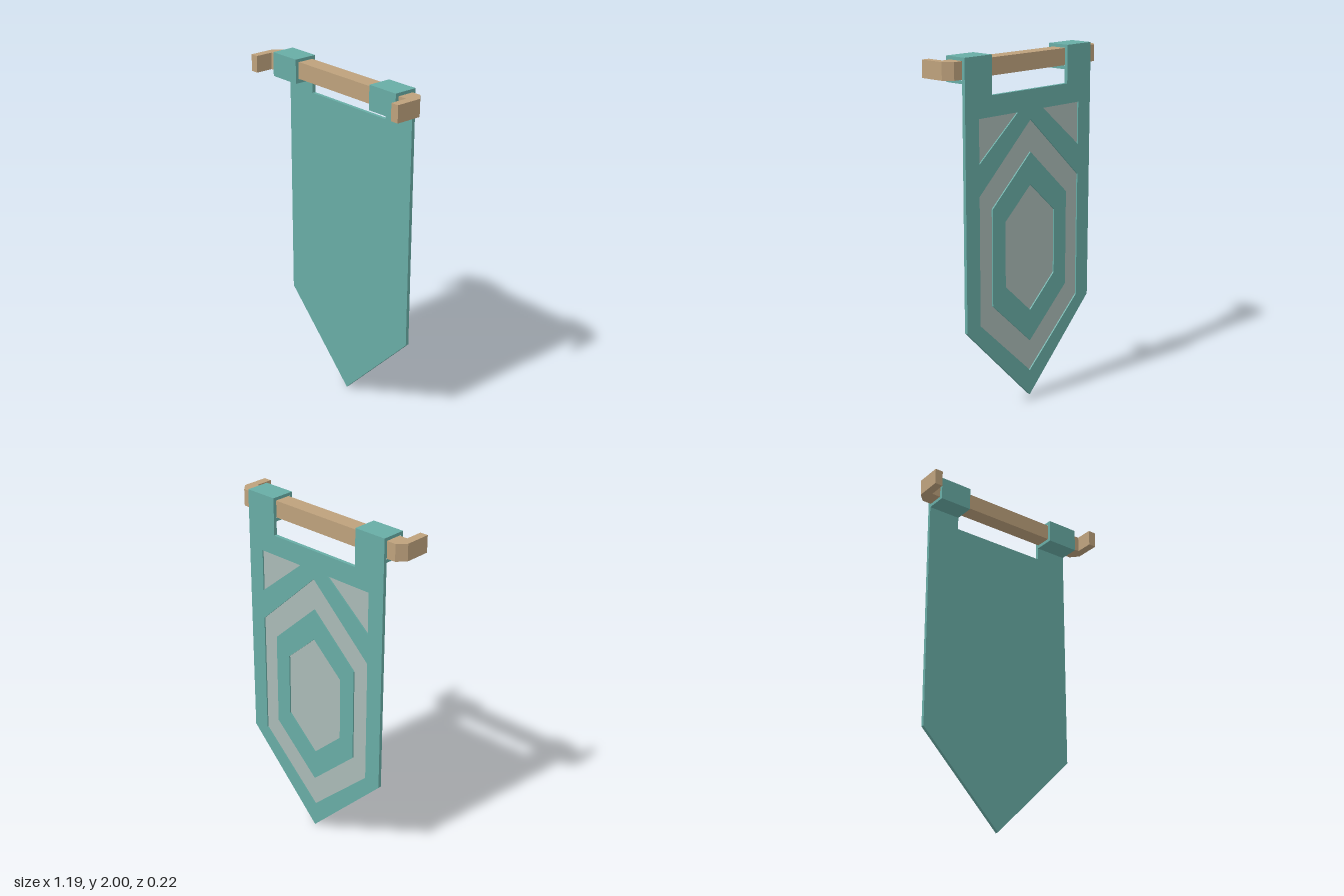
import * as THREE from 'three';

const teal = new THREE.MeshStandardMaterial({ color: 0x68aca5 });
teal.name = 'teal cloth';
const grey = new THREE.MeshStandardMaterial({ color: 0xaabab6 });
grey.name = 'pale grey inlay';
const wood = new THREE.MeshStandardMaterial({ color: 0xbda17c });
wood.name = 'tan wood';

const points = (list) => list.map(([x, y]) => new THREE.Vector2(x, y));

// Flat plate from an outline (and holes) lying between two z depths
function plate(name, outline, zBack, zFront, material, holes = []) {
  const shape = new THREE.Shape(points(outline));
  for (const hole of holes) shape.holes.push(new THREE.Path(points(hole)));
  const geometry = new THREE.ExtrudeGeometry(shape, { depth: zFront - zBack, bevelEnabled: false });
  geometry.translate(0, 0, zBack);
  const mesh = new THREE.Mesh(geometry, material);
  mesh.name = name;
  return mesh;
}

// Tall hexagon with points at top and bottom
const hexagon = (w, bottom, low, high, top) =>
  [[0, bottom], [w, low], [w, high], [0, top], [-w, high], [-w, low]];

const mirror = (list) => list.map(([x, y]) => [-x, y]);

export function createModel() {
  const model = new THREE.Group();
  model.name = 'hangingBanner';

  // Cloth: plain front sheet, raised pattern on the back
  const banner = [
    [0, 0], [0.495, 0.5], [0.495, 2], [0.298, 2], [0.298, 1.785],
    [-0.298, 1.785], [-0.298, 2], [-0.495, 2], [-0.495, 0.5],
  ];
  const outerHex = hexagon(0.395, 0.15, 0.52, 1.25, 1.62);
  const middleHex = hexagon(0.297, 0.334, 0.61, 1.163, 1.437);
  const innerHex = hexagon(0.198, 0.517, 0.7, 1.075, 1.254);
  const triangle = [[0.395, 1.67], [0.1, 1.67], [0.395, 1.425]];
  const recesses = [outerHex, triangle, mirror(triangle)];

  model.add(plate('frontSheet', banner, -0.1, -0.09, teal));
  model.add(plate('backBorder', banner, -0.11, -0.1, teal, recesses));
  model.add(plate('hexagonBand', middleHex, -0.11, -0.1, teal, [innerHex]));

  // Pale floors of the recesses
  recesses.forEach((outline, i) => {
    model.add(plate(['hexagonInlay', 'leftInlay', 'rightInlay'][i], outline, -0.102, -0.1, grey));
  });

  // Rod with chamfered corners and prongs pointing forward, outlined from above
  const rodHalf = [[0.545, 0.005], [0.545, 0.108], [0.593, 0.108], [0.593, -0.043], [0.55, -0.09]];
  const rodOutline = [...rodHalf, ...mirror(rodHalf).reverse()];
  const rod = plate('rod', rodOutline, 0, 0.096, wood);
  rod.geometry.rotateX(Math.PI / 2);
  rod.geometry.translate(0, 1.981, 0);
  model.add(rod);

  // Square cloth loops around the rod, outlined from the side
  const loopOutline = [[0.11, 1.862], [-0.03, 1.862], [-0.03, 2], [0.11, 2]];
  const loopHole = [[0.09, 1.882], [-0.01, 1.882], [-0.01, 1.982], [0.09, 1.982]];
  for (const [name, x] of [['leftLoop', 0.298], ['rightLoop', -0.495]]) {
    const loop = plate(name, loopOutline, 0, 0.197, teal, [loopHole]);
    loop.geometry.rotateY(Math.PI / 2);
    loop.geometry.translate(x, 0, 0);
    model.add(loop);
  }

  return model;
}
